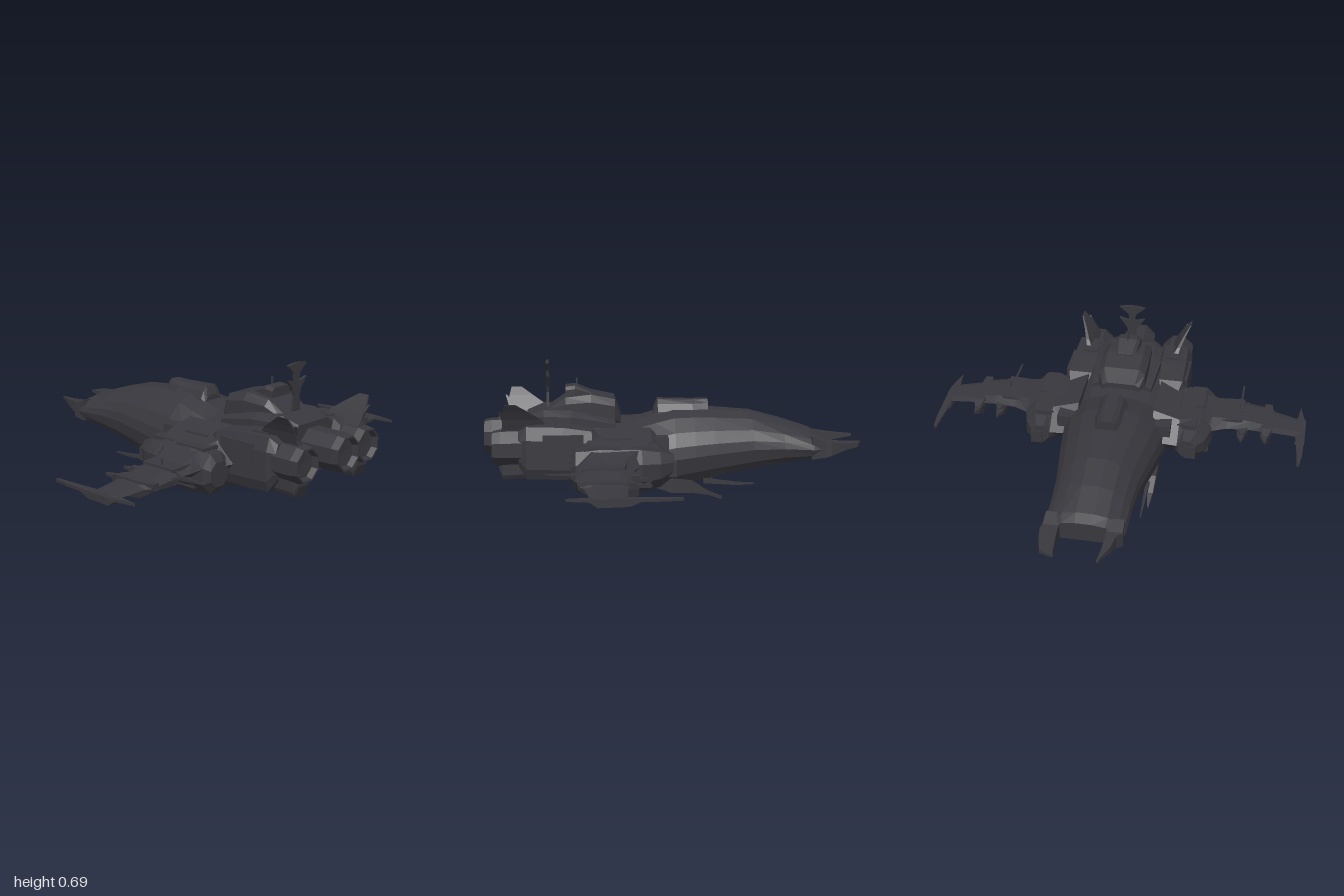
import * as THREE from 'three';

const hullMat = new THREE.MeshStandardMaterial({ color: 0x37373d, flatShading: true });
hullMat.name = 'dark hull';

// Closed skin through rings of [x, y, z] points, wound outward
function loft(rings) {
  const n = rings[0].length, tris = [];
  for (let i = 0; i < rings.length - 1; i++) {
    for (let j = 0; j < n; j++) {
      const k = (j + 1) % n, a = rings[i], b = rings[i + 1];
      tris.push([a[j], b[j], b[k]], [a[j], b[k], a[k]]);
    }
  }
  const first = rings[0], last = rings[rings.length - 1];
  for (let j = 1; j < n - 1; j++) {
    tris.push([first[0], first[j], first[j + 1]], [last[0], last[j + 1], last[j]]);
  }
  let volume = 0;
  for (const [a, b, c] of tris) {
    volume += a[0] * (b[1] * c[2] - b[2] * c[1]) + a[1] * (b[2] * c[0] - b[0] * c[2]) + a[2] * (b[0] * c[1] - b[1] * c[0]);
  }
  const ordered = volume < 0 ? tris.map(([a, b, c]) => [a, c, b]) : tris;
  const g = new THREE.BufferGeometry();
  g.setAttribute('position', new THREE.Float32BufferAttribute(ordered.flat(2), 3));
  g.computeVertexNormals();
  return g;
}

// Reflected copy across z = 0 with the winding kept outward
function mirrored(geometry) {
  const g = geometry.index ? geometry.toNonIndexed() : geometry.clone();
  g.scale(1, 1, -1);
  const p = g.attributes.position, a = new THREE.Vector3(), b = new THREE.Vector3();
  for (let i = 0; i < p.count; i += 3) {
    a.fromBufferAttribute(p, i + 1);
    b.fromBufferAttribute(p, i + 2);
    p.setXYZ(i + 1, b.x, b.y, b.z);
    p.setXYZ(i + 2, a.x, a.y, a.z);
  }
  g.computeVertexNormals();
  return g;
}

// Half profiles as [width fraction, height fraction], mirrored to a full ring
const hullProfile = [[0.22, 1], [0.55, 0.91], [0.82, 0.74], [0.96, 0.56], [1, 0.4], [0.95, 0.18], [0.82, 0.04], [0.6, 0]];
const boxy = [[0.75, 1], [1, 0.75], [1, 0.2], [0.8, 0]];
const round = [[0.41, 1], [1, 0.71], [1, 0.29], [0.41, 0]];
// Sections are [x, half width, bottom, top, z centre]
const loftX = (sections, profile) => loft(sections.map(([x, w, yb, yt, zc = 0]) =>
  [...profile, ...[...profile].reverse().map(([a, b]) => [-a, b])].map(([a, b]) => [x, yb + (yt - yb) * b, zc + a * w])));
// Four-cornered ring across x
const quad = (x, y0, y1, z0, z1) => [[x, y0, z0], [x, y0, z1], [x, y1, z1], [x, y1, z0]];
// Four-cornered level ring across y
const level = (y, x0, x1, z0, z1) => [[x0, y, z0], [x1, y, z0], [x1, y, z1], [x0, y, z1]];

// Vertical plate from side outline (x, y), centred on z
function sidePlate(points, thick, z = 0) {
  const shape = new THREE.Shape(points.map((p) => new THREE.Vector2(...p)));
  return new THREE.ExtrudeGeometry(shape, { depth: thick, bevelEnabled: false }).translate(0, 0, z - thick / 2);
}
// Horizontal plate from plan outline (x, z), centred on y
function planPlate(points, thick, y) {
  const shape = new THREE.Shape(points.map(([x, z]) => new THREE.Vector2(x, -z)));
  return new THREE.ExtrudeGeometry(shape, { depth: thick, bevelEnabled: false }).rotateX(-Math.PI / 2).translate(0, y - thick / 2, 0);
}
const box = (x0, x1, y0, y1, z0, z1) =>
  new THREE.BoxGeometry(x1 - x0, y1 - y0, z1 - z0).translate((x0 + x1) / 2, (y0 + y1) / 2, (z0 + z1) / 2);

// Eight-sided exhaust facing +x with a shallow recess
function nozzle(x0, x1, r, y, z) {
  const pts = [[0, x0], [r * 0.85, x0], [r, x0 + 0.05], [r * 0.98, x1 - 0.04], [r * 0.9, x1], [r * 0.8, x1], [r * 0.72, x1 - 0.03], [0, x1 - 0.035]];
  return new THREE.LatheGeometry(pts.map((p) => new THREE.Vector2(...p)), 8, Math.PI / 8)
    .rotateZ(-Math.PI / 2).translate(0, y, z);
}

export function createModel() {
  const model = new THREE.Group();
  const add = (name, g) => {
    const mesh = new THREE.Mesh(g, hullMat);
    mesh.name = name;
    model.add(mesh);
  };
  const pair = (name, g) => {
    add(name + 'Left', g);
    add(name + 'Right', mirrored(g));
  };

  // Main fuselage
  add('fuselage', loftX([
    [-0.76, 0.19, 0.2, 0.3], [-0.71, 0.2, 0.185, 0.325], [-0.56, 0.2, 0.165, 0.375], [-0.4, 0.21, 0.135, 0.418],
    [-0.2, 0.24, 0.1, 0.435], [-0.1, 0.255, 0.08, 0.44], [0, 0.268, 0.063, 0.44], [0.1, 0.28, 0.06, 0.415], [0.2, 0.29, 0.055, 0.385],
    [0.4, 0.3, 0.06, 0.4], [0.52, 0.29, 0.1, 0.43], [0.56, 0.29, 0.14, 0.43], [0.74, 0.28, 0.16, 0.41],
  ], hullProfile));

  // Forked nose, one prong blunter than the other
  [['Left', 1, 0.165, 0.15, 0.118], ['Right', -1, 0.2, 0.19, 0.17]].forEach(([side, s, wideRoot, wideMid, wideTip]) => {
    add('noseProng' + side, loft([
      quad(-0.7, 0.19, 0.305, s * 0.1, s * 0.19),
      quad(-0.77, 0.2, 0.282, s * 0.115, s * 0.193),
      quad(-0.8, 0.21, 0.28, s * 0.115, s * wideRoot),
      quad(-0.87, 0.236, 0.272, s * 0.112, s * wideMid),
      quad(-0.94, 0.25, 0.27, s * 0.106, s * wideTip),
      quad(-0.965, 0.256, 0.268, s * 0.102, s * 0.114),
    ]));
  });

  // Forward roof housing
  add('roofHousing', loftX([[-0.18, 0.06, 0.41, 0.485], [-0.1, 0.075, 0.41, 0.482], [0.08, 0.075, 0.4, 0.488], [0.1, 0.065, 0.4, 0.44]],
    [[0.4, 1], [0.7, 0.75], [0.95, 0.3], [1, 0]]));

  // Bridge tower with stepped roof
  add('bridge', loftX([[0.27, 0.1, 0.37, 0.42], [0.3, 0.125, 0.37, 0.5], [0.42, 0.13, 0.38, 0.525], [0.55, 0.125, 0.39, 0.51], [0.64, 0.11, 0.39, 0.45]], boxy));
  add('bridgeRoof', loftX([[0.4, 0.05, 0.5, 0.525], [0.5, 0.065, 0.5, 0.565], [0.55, 0.065, 0.49, 0.56]], boxy));
  add('bridgeMast', box(0.488, 0.496, 0.55, 0.6, -0.004, 0.004));
  add('rearDeck', loftX([[0.3, 0.16, 0.33, 0.4], [0.52, 0.18, 0.34, 0.45], [0.66, 0.17, 0.34, 0.455], [0.75, 0.14, 0.33, 0.42]], boxy));

  // Sensor mast: thin waisted plate across the hull
  const mast = [[0.03, 0.42], [0.02, 0.53], [0.03, 0.56], [0.07, 0.615], [0.016, 0.6], [0.02, 0.64], [0.07, 0.682], [0.02, 0.69]];
  const mastOutline = [...mast, ...[...mast].reverse().map(([z, y]) => [-z, y])];
  add('sensorMast', sidePlate(mastOutline, 0.014).rotateY(Math.PI / 2).translate(0.641, 0, 0));

  // Rear nacelles and exhausts
  pair('nacelle', loftX([
    [0.36, 0.06, 0.15, 0.33, 0.25], [0.42, 0.085, 0.14, 0.375, 0.25], [0.56, 0.09, 0.135, 0.395, 0.245],
    [0.74, 0.09, 0.14, 0.4, 0.24], [0.78, 0.075, 0.2, 0.37, 0.235],
  ], boxy));
  pair('sideExhaust', nozzle(0.7, 0.91, 0.095, 0.285, 0.232));
  pair('exhaustChin', loftX([[0.7, 0.06, 0.14, 0.25, 0.225], [0.86, 0.05, 0.13, 0.24, 0.225], [0.88, 0.04, 0.18, 0.24, 0.225]], boxy));
  add('centreExhaust', nozzle(0.68, 0.965, 0.098, 0.302, 0));

  // Ear-like tail fins leaning outward, with a swept rear spur
  pair('tailFin', loft([
    level(0.37, 0.62, 0.86, 0.215, 0.25), level(0.43, 0.67, 0.86, 0.25, 0.268),
    level(0.47, 0.73, 0.855, 0.276, 0.288), level(0.51, 0.79, 0.845, 0.306, 0.312),
  ]));
  pair('tailSpur', loft([level(0.36, 0.78, 0.87, 0.22, 0.25), level(0.41, 0.81, 0.855, 0.24, 0.256), level(0.472, 0.868, 0.876, 0.279, 0.284)]));

  // Wing root pods
  pair('wingPod', loftX([
    [0.02, 0.045, 0.17, 0.27, 0.39], [0.09, 0.08, 0.12, 0.29, 0.4], [0.18, 0.1, 0.1, 0.305, 0.405],
    [0.38, 0.1, 0.095, 0.31, 0.41], [0.5, 0.09, 0.105, 0.3, 0.41], [0.525, 0.06, 0.14, 0.26, 0.41],
  ], round));
  pair('podIntake', box(0.01, 0.12, 0.17, 0.24, 0.38, 0.44));

  // Tapered wings: [z, front x, rear x, bottom, top]
  const wing = [
    [0.2, 0.01, 0.6, 0.13, 0.37], [0.34, 0.02, 0.54, 0.14, 0.33], [0.43, 0.1, 0.5, 0.15, 0.31], [0.5, 0.18, 0.5, 0.19, 0.285],
    [0.58, 0.22, 0.5, 0.205, 0.265], [0.7, 0.24, 0.49, 0.205, 0.25], [0.81, 0.25, 0.485, 0.2, 0.228], [0.83, 0.26, 0.46, 0.2, 0.22], [0.98, 0.27, 0.43, 0.185, 0.2],
  ];
  pair('wing', loft(wing.map(([z, x0, x1, yb, yt]) => {
    const w = x1 - x0, m = (yb + yt) / 2;
    return [[x0, m, z], [x0 + w * 0.2, yt, z], [x0 + w * 0.8, yt, z], [x1, m, z], [x0 + w * 0.8, yb, z], [x0 + w * 0.2, yb, z]];
  })));

  // Curved wing-tip blades
  pair('wingTipBlade', planPlate([[0.02, 0.965], [0.12, 0.96], [0.26, 0.95], [0.43, 0.95], [0.54, 0.965], [0.45, 0.985], [0.38, 0.998], [0.1, 0.99], [0.02, 0.98]], 0.014, 0.192));
  pair('wingTipKeel', sidePlate([[0.2, 0.19], [0.26, 0.165], [0.4, 0.162], [0.44, 0.19]], 0.05, 0.972));

  // Underwing weapon fairings and spikes
  [[0.665, 0.14, 0.15], [0.79, 0.15, 0.14]].forEach(([z, x0, yb], i) => {
    pair('fairing' + (i + 1), loftX([
      [x0 + 0.06, 0.012, yb + 0.03, yb + 0.08, z], [0.26, 0.03, yb, 0.235, z], [0.4, 0.03, yb + 0.01, 0.235, z], [0.49, 0.02, 0.2, 0.235, z],
    ], [[1, 1], [1, 0.6], [0.8, 0.3], [0.6, 0]]));
    pair('fairingSpike' + (i + 1), planPlate([[x0, z], [x0 + 0.06, z - 0.025], [x0 + 0.12, z - 0.03], [x0 + 0.14, z + 0.03], [x0 + 0.07, z + 0.015]], 0.016, 0.21));
  });
  pair('wingSpine', sidePlate([[0.25, 0.23], [0.3, 0.262], [0.46, 0.26], [0.5, 0.24], [0.65, 0.236], [0.5, 0.225]], 0.01, 0.64));
  pair('wingMast', box(0.37, 0.378, 0.24, 0.3, 0.636, 0.642));
  pair('wingPanel', planPlate([[0.25, 0.52], [0.46, 0.52], [0.47, 0.66], [0.27, 0.66]], 0.016, 0.258));

  // Chin blades, barrels and ventral turret
  pair('chinBlade', loft([
    quad(-0.235, 0.003, 0.018, 0.228, 0.236), quad(-0.16, 0.03, 0.048, 0.216, 0.246),
    quad(-0.08, 0.042, 0.1, 0.205, 0.25), quad(0.02, 0.042, 0.12, 0.2, 0.25), quad(0.1, 0.07, 0.12, 0.2, 0.245),
  ]));
  pair('chinBarrel', loft([quad(-0.4, 0.075, 0.083, 0.216, 0.222), quad(-0.31, 0.072, 0.088, 0.212, 0.224), quad(-0.14, 0.085, 0.11, 0.205, 0.225)]));
  add('ventralTurret', loftX([[-0.04, 0.03, 0.045, 0.09], [0, 0.045, 0.033, 0.09], [0.07, 0.045, 0.036, 0.09], [0.1, 0.03, 0.05, 0.09]], boxy));

  // Raised armour panels along flanks and shoulders
  [
    [0.04, 0.2, 0.27, 0.335, 0.2, 0.3], [0.22, 0.36, 0.27, 0.34, 0.2, 0.33], [0.1, 0.24, 0.28, 0.315, 0.33, 0.43],
    [0.28, 0.46, 0.28, 0.318, 0.35, 0.45], [0.46, 0.66, 0.25, 0.36, 0.3, 0.336], [0.6, 0.7, 0.3, 0.405, 0.19, 0.27],
    [0.14, 0.44, 0.13, 0.18, 0.44, 0.495],
  ].forEach((b, i) => pair('armourPanel' + (i + 1), box(...b)));

  return model;
}
